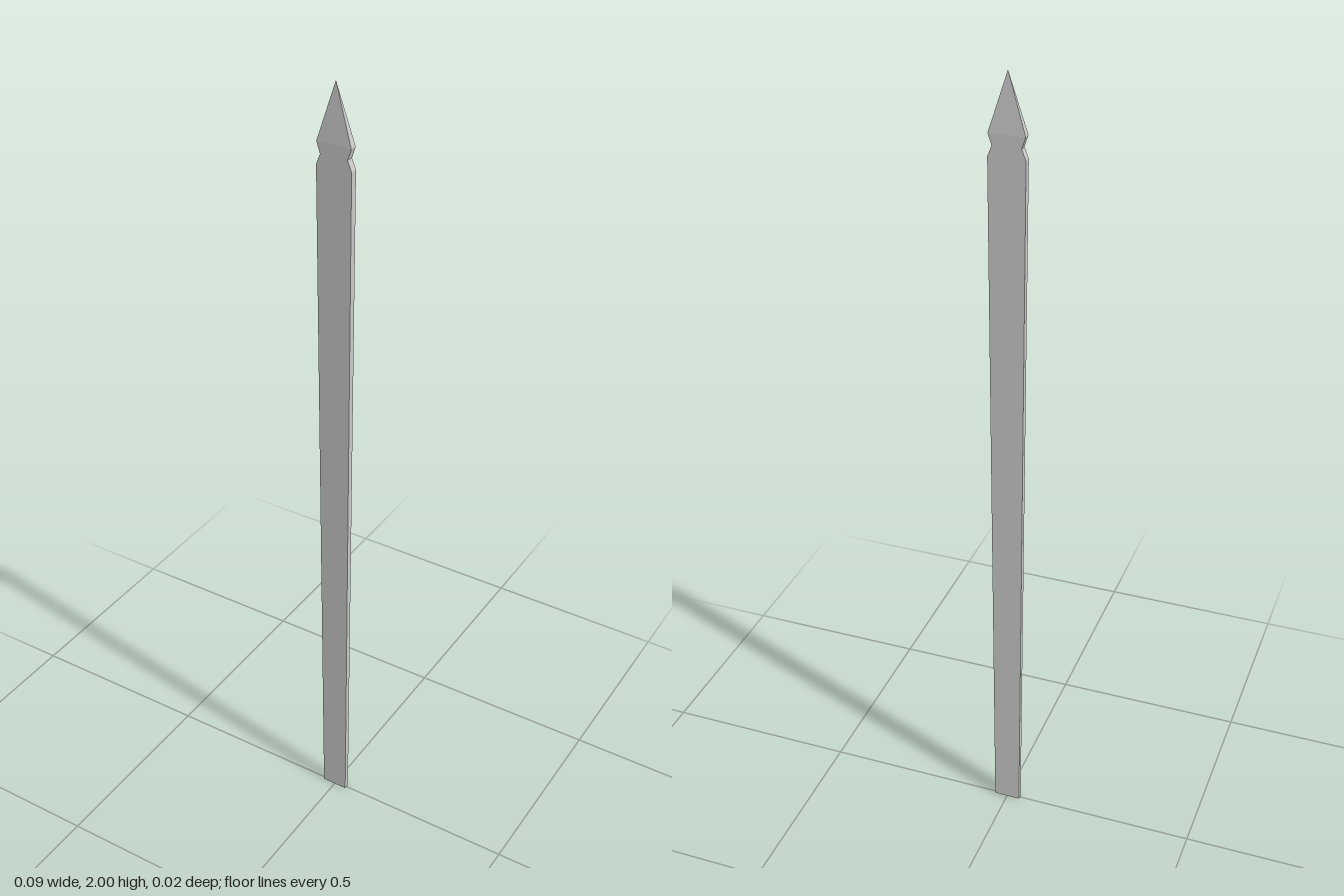
import * as THREE from 'three';

// Cross-sections from foot to tip: [height, half width, half thickness]
const sections = [
  [0, 0.034, 0.007],
  [1.81, 0.044, 0.0088],
  [1.835, 0.034, 0.0088],
  [1.862, 0.043, 0.0088],
  [2, 0, 0],
];

// A box with one row per section, its corners moved onto the sections
function createPicketGeometry() {
  const rows = sections.length - 1;
  const box = new THREE.BoxGeometry(2, rows, 2, 1, rows, 1);
  const pos = box.attributes.position;
  for (let i = 0; i < pos.count; i++) {
    const [y, halfWidth, halfDepth] = sections[Math.round(pos.getY(i) + rows / 2)];
    pos.setXYZ(i, pos.getX(i) * halfWidth, y, pos.getZ(i) * halfDepth);
  }
  const geometry = box.toNonIndexed();
  geometry.computeVertexNormals();
  return geometry;
}

export function createModel() {
  const group = new THREE.Group();
  group.name = 'fencePicket';

  // Tapered board with a notched neck and a pyramid point
  const material = new THREE.MeshStandardMaterial({ color: 0xcccccc, flatShading: true });
  const picket = new THREE.Mesh(createPicketGeometry(), material);
  picket.name = 'pointedBoard';
  group.add(picket);

  return group;
}
